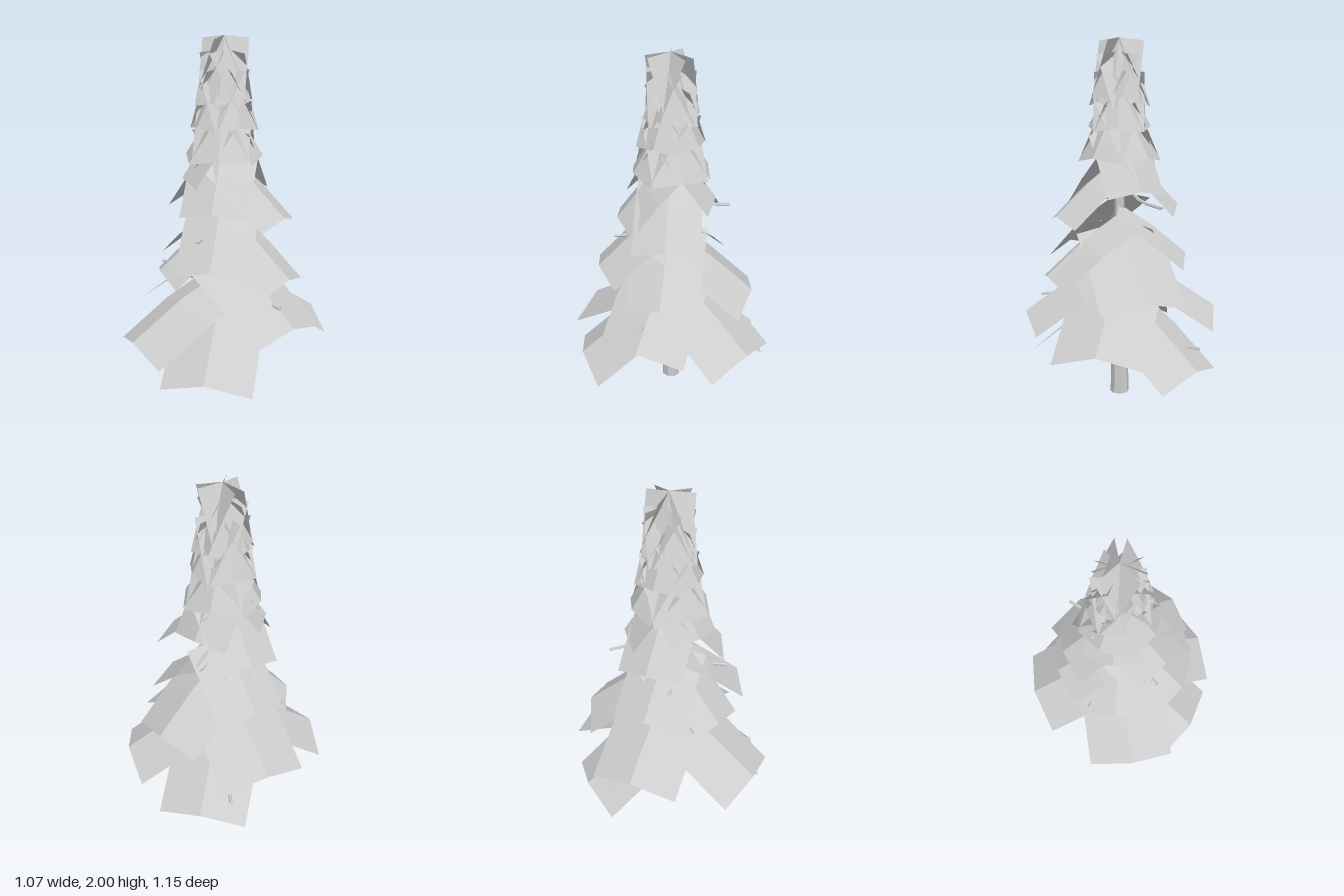
import * as THREE from 'three';

export function createModel() {
  const tree = new THREE.Group();
  tree.name = 'firTree';
  const grey = new THREE.MeshStandardMaterial({ color: 0xcccccc, side: THREE.DoubleSide, flatShading: true });
  grey.name = 'pale grey';

  const add = (parent, name, geometry) => {
    const mesh = new THREE.Mesh(geometry, grey);
    mesh.name = name;
    parent.add(mesh);
    return mesh;
  };

  // Folded bough: a ridge leaving the trunk, with both sides falling away from it
  function boughGeometry(length, baseY, tipY, w) {
    const drop = baseY - tipY, slope = Math.hypot(length, drop);
    const fold = 0.34 * w;
    const inX = -drop / slope * fold, inY = -length / slope * fold;
    const pos = [], index = [];
    for (let i = 0; i <= 2; i++) {
      const t = i / 2;
      const x = length * t;
      const y = baseY - drop * t + (i === 1 ? 0.045 * length : 0);
      pos.push(x + inX, y + inY, -w, x, y, 0, x + inX, y + inY, w);
    }
    for (let r = 0; r < 2; r++) {
      for (let c = 0; c < 2; c++) {
        const a = r * 3 + c;
        index.push(a, a + 1, a + 3, a + 1, a + 4, a + 3);
      }
    }
    const g = new THREE.BufferGeometry();
    g.setAttribute('position', new THREE.Float32BufferAttribute(pos, 3));
    g.setIndex(index);
    const flat = g.toNonIndexed();
    flat.computeVertexNormals();
    return flat;
  }

  const boughs = new THREE.Group();
  boughs.name = 'boughs';
  tree.add(boughs);
  function bough(x, z, tipY, baseY, w) {
    const m = add(boughs, 'bough', boughGeometry(Math.hypot(x, z), baseY, tipY, w));
    m.rotation.y = Math.atan2(-z, x);
  }

  // Trunk
  const trunk = add(tree, 'trunk', new THREE.CylinderGeometry(0.008, 0.053, 1.97, 8));
  trunk.position.y = 0.985;

  // Large lower boughs: tip x, tip z, tip height, height at trunk, half width
  const lower = [
    [-0.36, -0.39, 0.25, 0.61, 0.25], [0.305, 0.44, 0.25, 0.61, 0.25],
    [-0.145, 0.55, 0.38, 0.71, 0.25], [0.205, -0.525, 0.41, 0.73, 0.25],
    [0.53, 0, 0.51, 0.83, 0.25], [-0.535, -0.06, 0.51, 0.83, 0.25],
    [-0.075, -0.46, 0.66, 1.0, 0.235], [-0.165, 0.335, 0.74, 1.03, 0.2],
    [0.415, -0.09, 0.73, 1.05, 0.2], [-0.37, -0.03, 0.82, 1.1, 0.2],
    [0.245, 0.335, 0.83, 1.17, 0.2],
    [0.36, -0.1, 1.06, 1.36, 0.18], [-0.32, -0.03, 1.1, 1.42, 0.18],
    [0.165, 0.25, 1.11, 1.44, 0.185], [-0.08, -0.23, 1.2, 1.53, 0.17],
    [-0.12, 0.2, 1.25, 1.58, 0.16],
  ];
  lower.forEach(b => bough(...b));

  // Small steep upper tiers: count, turn, reach, tip height, height at trunk, half width
  const upper = [
    [4, 0.9, 0.21, 1.37, 1.69, 0.15], [4, 0.2, 0.17, 1.53, 1.84, 0.135],
    [4, 1.1, 0.145, 1.66, 1.93, 0.125], [3, 0.95, 0.13, 1.69, 2.0, 0.125],
  ];
  for (const [n, turn, reach, tipY, baseY, w] of upper) {
    for (let i = 0; i < n; i++) {
      const a = turn + i * Math.PI * 2 / n;
      bough(reach * Math.cos(a), reach * Math.sin(a), tipY, baseY, w);
    }
  }

  // Bare twigs: leave the trunk falling, then level out
  const twigs = [
    [-0.42, -0.22, 0.31], [0.44, 0.01, 0.6], [-0.28, 0.22, 0.74],
    [-0.18, -0.28, 1.12], [0.1, 0.3, 0.95], [0.14, 0.05, 1.45],
  ];
  for (const [x, z, y] of twigs) {
    const path = new THREE.CurvePath();
    const knee = new THREE.Vector3(x * 0.5, y + 0.015, z * 0.5);
    path.add(new THREE.LineCurve3(new THREE.Vector3(0, y + 0.13, 0), knee));
    path.add(new THREE.LineCurve3(knee, new THREE.Vector3(x, y, z)));
    add(tree, 'twig', new THREE.TubeGeometry(path, 6, 0.009, 5));
  }

  return tree;
}
